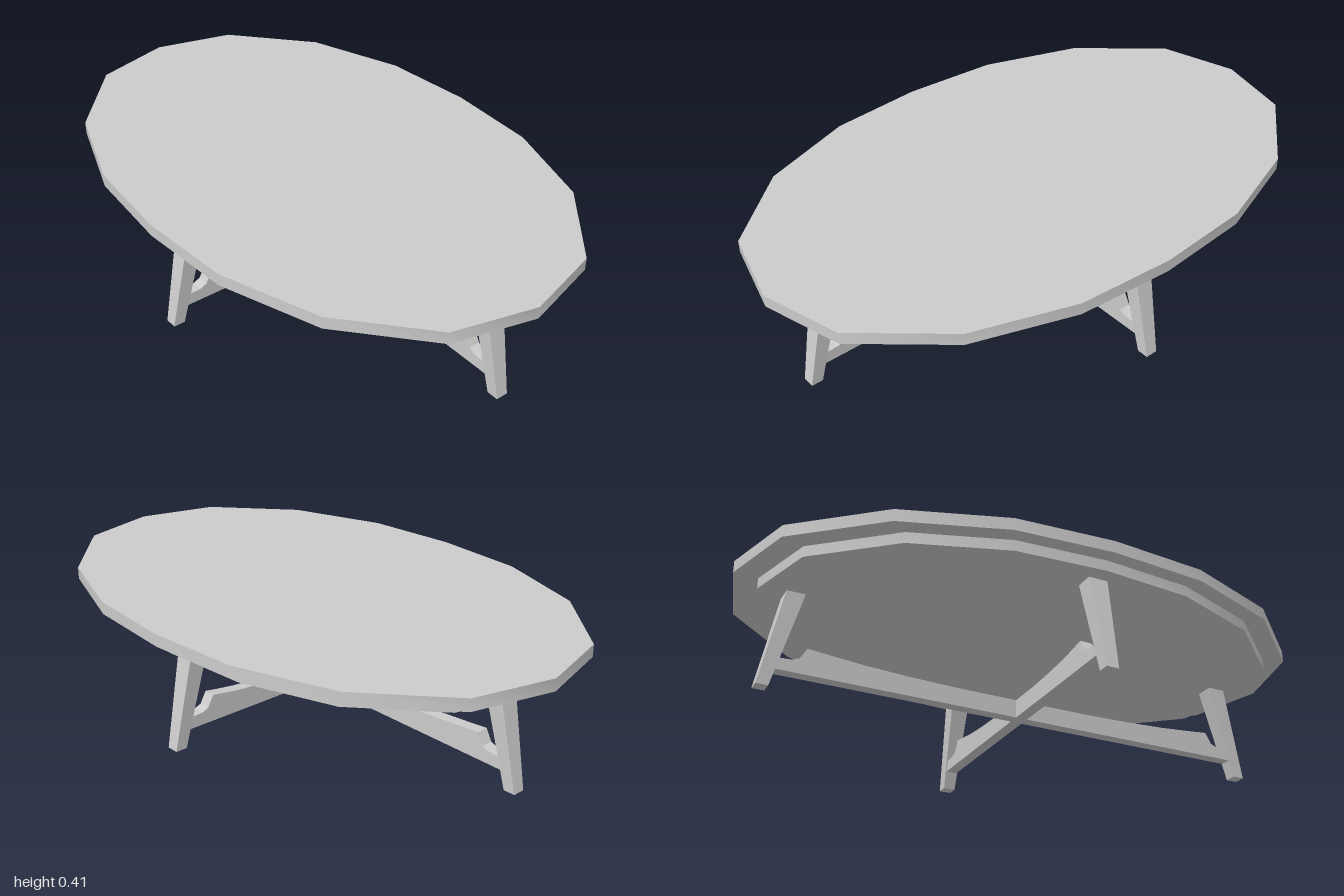
import * as THREE from 'three';
import { toCreasedNormals } from 'three/addons/utils/BufferGeometryUtils.js';

const material = new THREE.MeshStandardMaterial({ color: 0xcccccc });

function addMesh(parent, name, geometry) {
  const mesh = new THREE.Mesh(geometry, material);
  mesh.name = name;
  parent.add(mesh);
  return mesh;
}

// Sixteen-sided oval outline, mirrored from one quadrant (x, z)
const quadrant = [[0.645, 0], [0.62, 0.33], [0.503, 0.665], [0.272, 0.927], [0, 1]];
function ovalSlab(scale, bottom, top) {
  const half = [...quadrant, ...quadrant.slice(0, 4).reverse().map(([x, z]) => [-x, z])];
  const outline = [...half, ...half.slice(1, 8).reverse().map(([x, z]) => [x, -z])];
  const shape = new THREE.Shape(outline.map(([x, z]) => new THREE.Vector2(x * scale, z * scale)));
  const geometry = new THREE.ExtrudeGeometry(shape, { depth: top - bottom, bevelEnabled: false });
  geometry.rotateX(-Math.PI / 2).translate(0, bottom, 0);
  return toCreasedNormals(geometry, 0.7);
}

// Tapered leg leaning inwards; each end is [inner, outer, half width]
function legGeometry(foot, head, height) {
  const geometry = new THREE.BoxGeometry(1, 1, 1);
  const p = geometry.attributes.position;
  for (let i = 0; i < p.count; i++) {
    const up = p.getY(i) > 0;
    const [inner, outer, halfWidth] = up ? head : foot;
    p.setXYZ(i, p.getX(i) > 0 ? outer : inner, up ? height : 0, Math.sign(p.getZ(i)) * halfWidth);
  }
  geometry.computeVertexNormals();
  return geometry;
}

// Stretcher with a shallow sagging top edge and scooped ends
function stretcherGeometry(reach, thickness) {
  const peak = reach - 0.1;
  const side = [
    [reach, 0.06], [reach - 0.012, 0.1], [reach - 0.055, 0.102], [reach - 0.079, 0.112],
    [reach - 0.086, 0.125], [peak, 0.15], [peak * 0.9, 0.143], [peak * 0.75, 0.134],
    [peak * 0.55, 0.127], [peak * 0.33, 0.123],
  ];
  const profile = [...side, ...side.slice().reverse().map(([x, y]) => [-x, y])];
  const shape = new THREE.Shape(profile.map(([x, y]) => new THREE.Vector2(x, y)));
  const geometry = new THREE.ExtrudeGeometry(shape, { depth: thickness, bevelEnabled: false });
  geometry.translate(0, 0, -thickness / 2);
  return toCreasedNormals(geometry, 0.3);
}

export function createModel() {
  const table = new THREE.Group();
  table.name = 'ovalTable';

  addMesh(table, 'tableTop', ovalSlab(1, 0.367, 0.408));
  addMesh(table, 'apron', ovalSlab(0.92, 0.33, 0.367));

  // Two crossed frames: a short one along x and a long one along z
  const frames = [
    { name: 'crossFrame', turn: 0, offset: 0 },
    { name: 'longFrame', turn: Math.PI / 2, offset: 0.296 },
  ];
  for (const { name, turn, offset } of frames) {
    const frame = new THREE.Group();
    frame.name = name;
    frame.rotation.y = turn;
    const leg = legGeometry(
      [0.565 + offset, 0.605 + offset, 0.021],
      [0.476 + offset, 0.538 + offset, 0.033],
      0.33
    );
    addMesh(frame, 'leg', leg);
    addMesh(frame, 'oppositeLeg', leg).rotation.y = Math.PI;
    addMesh(frame, 'stretcher', stretcherGeometry(0.553 + offset, 0.04));
    table.add(frame);
  }
  return table;
}
